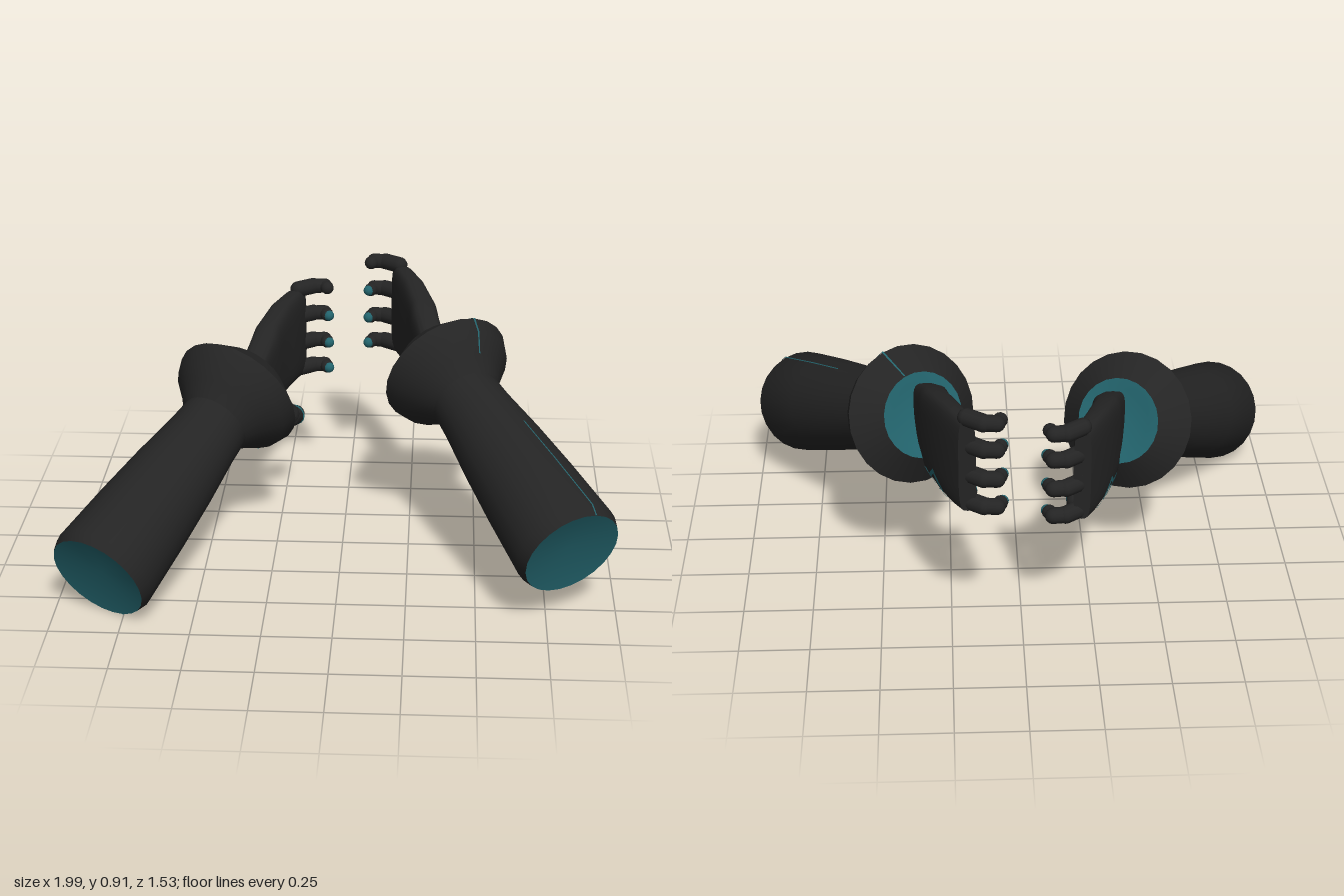
import * as THREE from 'three';
import { toCreasedNormals } from 'three/addons/utils/BufferGeometryUtils.js';

const V = (x, y, z) => new THREE.Vector3(x, y, z);
const UP = V(0, 1, 0);

export function createModel() {
  const model = new THREE.Group();
  const dark = new THREE.MeshStandardMaterial({ color: 0x242424 });
  dark.name = 'charcoal';
  const teal = new THREE.MeshStandardMaterial({ color: 0x23646d, side: THREE.DoubleSide });
  teal.name = 'teal';

  const add = (parent, name, geometry, material) => {
    const mesh = new THREE.Mesh(geometry, material);
    mesh.name = name;
    parent.add(mesh);
    return mesh;
  };

  // Sleeve, flared cuff and linings, turned around the line from elbow to wrist
  function forearm(name, elbow, wrist, seamDirection) {
    const arm = new THREE.Group();
    arm.name = name;
    const axis = wrist.clone().sub(elbow);
    const L = axis.length();
    arm.position.copy(wrist);
    arm.quaternion.setFromUnitVectors(UP, axis.normalize());
    const lathe = (pts, start = 0, sweep = Math.PI * 2, n = 24) =>
      toCreasedNormals(new THREE.LatheGeometry(pts.map(p => new THREE.Vector2(...p)), n, start, sweep), 0.6);

    const sleeve = [[0.183, -L], [0.196, -L + 0.04], [0.18, -0.7 * L], [0.162, -0.48 * L], [0.14, -0.28 * L], [0.133, -0.17]];
    const cuff = [[0.133, -0.17], [0.175, -0.115], [0.23, -0.055], [0.25, 0], [0.155, 0.09]];
    add(arm, 'sleeve', lathe(sleeve), dark);
    add(arm, 'cuff', lathe(cuff), dark);
    add(arm, 'elbowOpening', lathe([[0, -L + 0.03], [0.183, -L]]), teal);
    add(arm, 'wristOpening', lathe([[0.155, 0.09], [0.115, 0.085], [0, 0.06]]), teal);

    // Narrow seam on one side
    const d = seamDirection.clone().applyQuaternion(arm.quaternion.clone().invert());
    const phi = Math.atan2(d.x, d.z);
    const strip = pts => lathe(pts.map(([r, y]) => [r + 0.003, y]), phi - 0.015, 0.03, 1);
    add(arm, 'cuffSeam', strip(cuff.slice(1)), teal);
    add(arm, 'sleeveSeam', strip(sleeve.slice(0, 4)), teal);
    model.add(arm);
  }

  // Palm cross-sections: z, centre x, centre y, half height, half thickness
  const sections = [
    [-0.22, 0.33, 0.69, 0.001, 0.001], [-0.22, 0.33, 0.69, 0.105, 0.05],
    [-0.34, 0.3, 0.7, 0.148, 0.056], [-0.41, 0.29, 0.705, 0.162, 0.056],
    [-0.55, 0.25, 0.722, 0.178, 0.05], [-0.66, 0.207, 0.73, 0.18, 0.045],
    [-0.712, 0.19, 0.73, 0.173, 0.03], [-0.712, 0.19, 0.73, 0.001, 0.001],
  ];

  function palmGeometry() {
    const n = 28, pos = [], idx = [];
    const bend = v => Math.sign(v) * Math.sqrt(Math.abs(v));
    sections.forEach(([z, cx, cy, h, t], i) => {
      for (let j = 0; j < n; j++) {
        const a = (j / n) * Math.PI * 2;
        pos.push(cx + t * bend(Math.cos(a)), cy + h * bend(Math.sin(a)), z);
        if (i < sections.length - 1) {
          const p = i * n + j, q = i * n + (j + 1) % n;
          idx.push(p, p + n, q, q, p + n, q + n);
        }
      }
    });
    const g = new THREE.BufferGeometry();
    g.setAttribute('position', new THREE.Float32BufferAttribute(pos, 3));
    g.setIndex(idx);
    return toCreasedNormals(g, 0.7);
  }

  // Outer surface of the palm at a given z and y
  function palmX(z, y) {
    const i = Math.max(1, sections.findIndex(s => s[0] < z) - 1);
    const a = sections[i], b = sections[i + 1];
    const k = (z - a[0]) / (b[0] - a[0]);
    const [, cx, cy, h, t] = a.map((v, j) => v + (b[j] - v) * k);
    return cx + t * Math.pow(Math.max(0, 1 - Math.pow((y - cy) / h, 4)), 0.25) + 0.004;
  }

  // Thin painted ribbon following the back of the hand through [z, y] points
  function ribbon(points, w) {
    const pos = [], idx = [], steps = 6;
    for (let i = 0; i < points.length - 1; i++)
      for (let k = i ? 1 : 0; k <= steps; k++) {
        const z = THREE.MathUtils.lerp(points[i][0], points[i + 1][0], k / steps);
        const y = THREE.MathUtils.lerp(points[i][1], points[i + 1][1], k / steps);
        for (const yy of [y - w, y + w]) pos.push(palmX(z, yy), yy, z);
      }
    for (let v = 0; v + 3 < pos.length / 3; v += 2) idx.push(v, v + 2, v + 1, v + 1, v + 2, v + 3);
    const g = new THREE.BufferGeometry();
    g.setAttribute('position', new THREE.Float32BufferAttribute(pos, 3));
    g.setIndex(idx);
    g.computeVertexNormals();
    return g;
  }

  // Rounded segment between two points
  function segment(a, b, r) {
    const d = b.clone().sub(a);
    const g = new THREE.CapsuleGeometry(r, d.length(), 4, 12);
    g.applyQuaternion(new THREE.Quaternion().setFromUnitVectors(UP, d.normalize()));
    const m = a.clone().add(b).multiplyScalar(0.5);
    return g.translate(m.x, m.y, m.z);
  }

  function hand(name) {
    const g = new THREE.Group();
    g.name = name;
    add(g, 'palm', palmGeometry(), dark);
    add(g, 'chevron', ribbon([[-0.475, 0.562], [-0.535, 0.615], [-0.6, 0.57]], 0.01), teal);
    add(g, 'edgeStripe', ribbon([[-0.4, 0.556], [-0.64, 0.558]], 0.004), teal);

    // Four curled fingers, three of them with coloured tips
    [0.908, 0.8, 0.687, 0.58].forEach((y, i) => {
      const dz = i ? 0.012 : 0;
      const path = [[0.19, -0.69], [0.135, -0.732], [0.09, -0.738], [0.078, -0.712]].map(([x, z]) => V(x, y, z + dz));
      for (let k = 0; k < 3; k++)
        add(g, 'fingerSegment', segment(path[k], path[k + 1], [0.032, 0.029, 0.026][k]), dark);
      if (i) {
        const tip = new THREE.SphereGeometry(0.021, 12, 8);
        add(g, 'fingerTip', tip.translate(0.07, y, -0.688), teal);
      }
    });

    // Thumb
    add(g, 'thumbBase', segment(V(0.26, 0.545, -0.36), V(0.215, 0.495, -0.4), 0.046), dark);
    add(g, 'thumbTip', segment(V(0.205, 0.48, -0.405), V(0.19, 0.474, -0.45), 0.038), dark);
    const band = new THREE.TorusGeometry(0.037, 0.005, 6, 16);
    add(g, 'thumbBand', band.rotateY(0.3).translate(0.192, 0.475, -0.447), teal);
    model.add(g);
    return g;
  }

  // Mirror a group's geometry across x, keeping faces outward
  function mirror(group) {
    group.children.forEach(({ geometry: g }) => {
      g.scale(-1, 1, 1);
      if (!g.index) g.setIndex([...Array(g.attributes.position.count).keys()]);
      const ix = g.index.array;
      for (let i = 0; i < ix.length; i += 3) [ix[i], ix[i + 1]] = [ix[i + 1], ix[i]];
    });
  }

  forearm('leftForearm', V(0.83, 0.3, 0.6), V(0.38, 0.662, -0.2), V(1, 1, 1));
  forearm('rightForearm', V(-0.83, 0.193, 0.66), V(-0.403, 0.58, -0.125), V(1, -1, -1));
  hand('leftHand');
  const rightHand = hand('rightHand');
  mirror(rightHand);
  rightHand.position.set(-0.015, -0.083, 0.07);
  return model;
}
